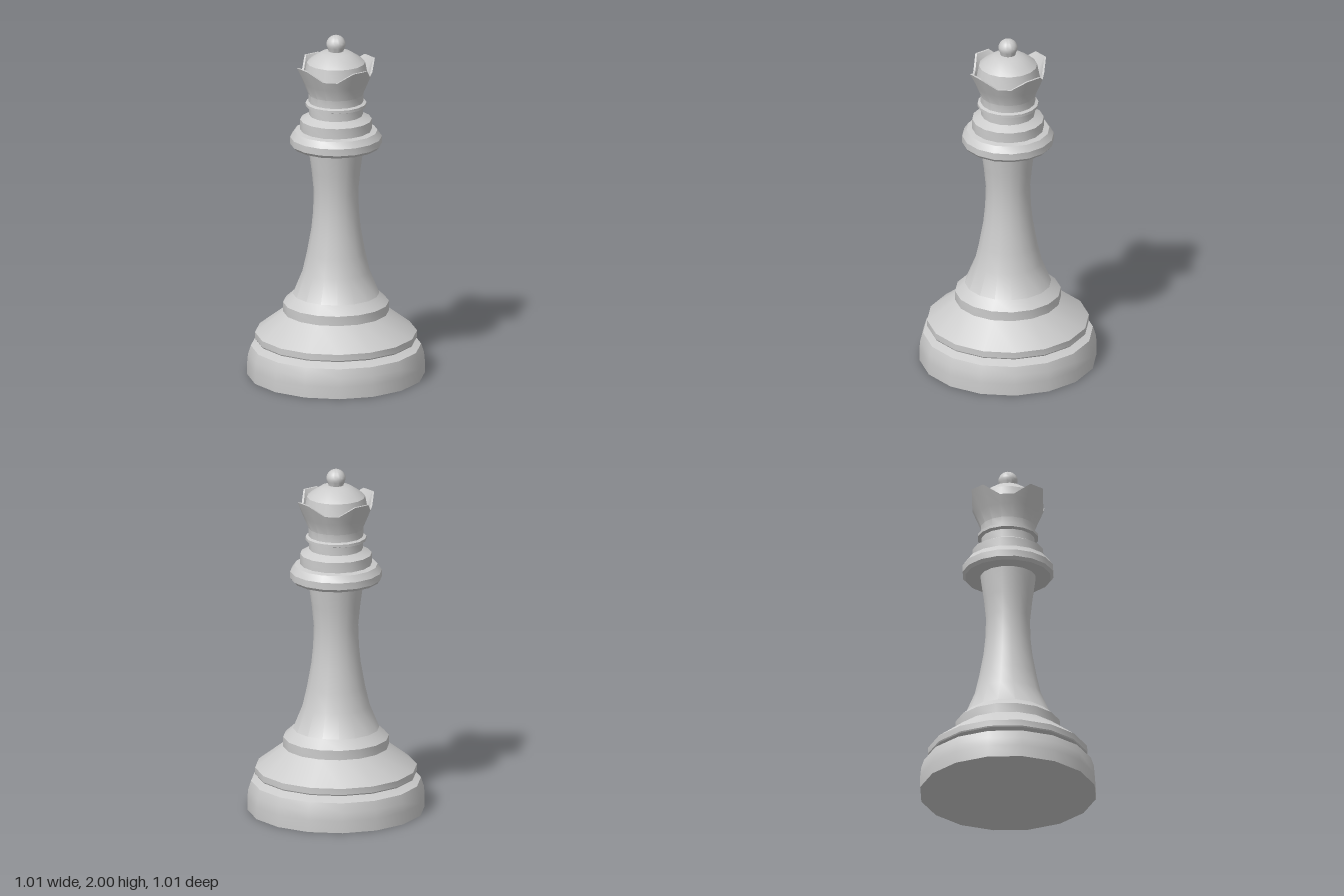
import * as THREE from 'three';
import { toCreasedNormals } from 'three/addons/utils/BufferGeometryUtils.js';

const SIDES = 16;
const material = new THREE.MeshStandardMaterial({ color: 0xcccccc, side: THREE.DoubleSide });

const lathe = (profile, sides = SIDES) =>
  new THREE.LatheGeometry(profile.map(([r, y]) => new THREE.Vector2(r, y)), sides);

function part(name, geometry, crease = 0.5) {
  const mesh = new THREE.Mesh(toCreasedNormals(geometry, crease), material);
  mesh.name = name;
  return mesh;
}

// Crown: a flared wall whose rim rises to four wide points
function crownGeometry() {
  const profile = [
    [0.155, 1.605], [0.155, 1.655], [0.185, 1.725],
    [0.205, 1.775], [0.193, 1.775], // outer and inner rim
    [0.182, 1.74], [0, 1.74],
  ];
  const geometry = lathe(profile);
  const pos = geometry.attributes.position;
  for (let i = 0; i <= SIDES; i++) {
    if (i % 4 !== 1 && i % 4 !== 2) continue;
    const a = (i / SIDES) * Math.PI * 2;
    for (const [j, r] of [[3, 0.242], [4, 0.23]]) {
      pos.setXYZ(i * profile.length + j, r * Math.sin(a), 1.835, r * Math.cos(a));
    }
  }
  return geometry;
}

export function createModel() {
  const group = new THREE.Group();
  group.name = 'chessQueen';

  // Plinth, groove and sloped foot
  group.add(part('base', lathe([
    [0, 0], [0.503, 0], [0.503, 0.07], [0.498, 0.12], [0.482, 0.17],
    [0.415, 0.195], [0.455, 0.205], [0.459, 0.212], [0.459, 0.248],
    [0.3, 0.37], [0.3, 0.425], [0.245, 0.475],
  ])));

  // Waisted stem
  group.add(part('stem', lathe([
    [0.3, 0.425], [0.245, 0.475], [0.19, 0.61], [0.165, 0.72], [0.14, 0.86],
    [0.13, 0.96], [0.126, 1.08], [0.138, 1.2], [0.158, 1.345],
  ])));

  // Stepped collar with the neck ring
  group.add(part('collar', lathe([
    [0.155, 1.345], [0.245, 1.345], [0.26, 1.362], [0.26, 1.402], [0.235, 1.438],
    [0.203, 1.445], [0.203, 1.505], [0.152, 1.532], [0.152, 1.58],
    [0.173, 1.587], [0.173, 1.603], [0.155, 1.61],
  ])));

  group.add(part('crown', crownGeometry()));

  // Cap inside the crown
  group.add(part('dome', lathe([
    [0.185, 1.74], [0.165, 1.84], [0.14, 1.862], [0.085, 1.898], [0.04, 1.908], [0, 1.908],
  ])));

  // Ball on top, tapered towards its foot
  const ball = [[0.04, 1.9], [0.05, 1.93]];
  for (let i = 0; i <= 8; i++) {
    const a = (i / 8) * Math.PI / 2;
    ball.push([0.055 * Math.cos(a), 1.945 + 0.055 * Math.sin(a)]);
  }
  group.add(part('finial', lathe(ball, 32), 0.7));

  return group;
}
